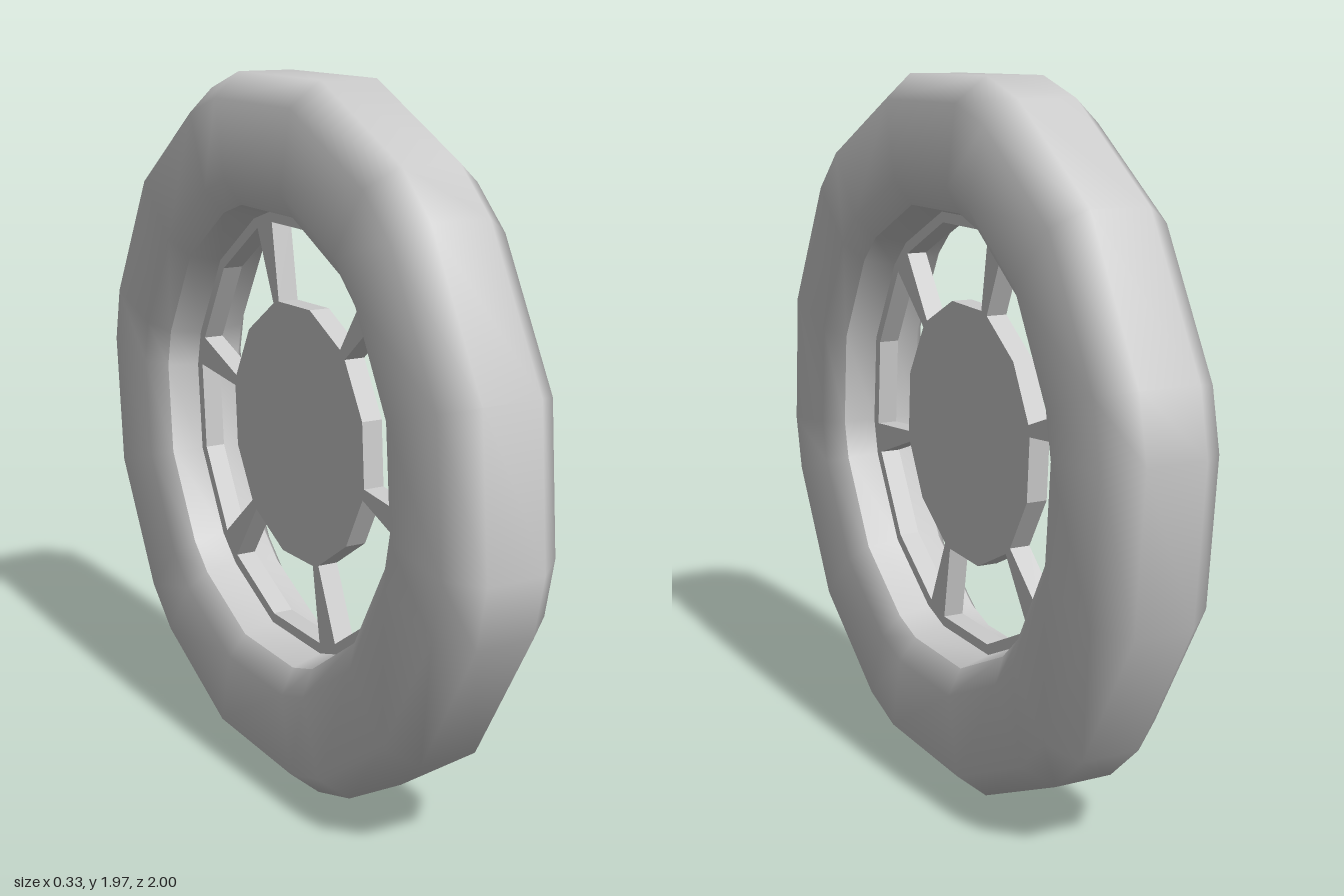
import * as THREE from 'three';

const CENTRE_Y = 0.985;
const rad = THREE.MathUtils.degToRad;

// Three uneven corners repeated six times round the wheel
const corners = [];
for (let k = 0; k < 6; k++) for (const a of [7.2, 17.2, 43]) corners.push(rad(a + 60 * k));

// Sweep an [x, radius] profile round the axle, smooth shaded
function sweep(profile) {
  const n = profile.length, m = corners.length, pos = [], idx = [];
  for (const a of corners)
    for (const [x, r] of profile) pos.push(x, r * Math.sin(a), -r * Math.cos(a));
  for (let j = 0; j < m; j++) {
    const p = j * n, q = ((j + 1) % m) * n;
    for (let i = 0; i < n - 1; i++)
      idx.push(p + i, p + i + 1, q + i, q + i, p + i + 1, q + i + 1);
  }
  const g = new THREE.BufferGeometry();
  g.setAttribute('position', new THREE.Float32BufferAttribute(pos, 3));
  g.setIndex(idx);
  g.computeVertexNormals();
  return g;
}

const polar = (r, a) => new THREE.Vector2(r * Math.cos(a), r * Math.sin(a));

export function createModel() {
  const group = new THREE.Group();
  const wheel = new THREE.Group();
  wheel.name = 'wheel';
  wheel.position.y = CENTRE_Y;
  group.add(wheel);

  const add = (name, geometry) => {
    const mesh = new THREE.Mesh(geometry, new THREE.MeshStandardMaterial({ color: 0xcccccc }));
    mesh.name = name;
    wheel.add(mesh);
  };

  // Tyre: flat sidewalls with chamfered shoulders and a flat tread
  add('tyre', sweep([
    [0.12, 0.645], [0.165, 0.715], [0.165, 0.938], [0.083, 1.008],
    [-0.083, 1.008], [-0.165, 0.938], [-0.165, 0.715], [-0.12, 0.645],
  ]));

  // Walls of the opening, narrowing towards the rim on each side
  add('innerWallRight', sweep([[0.03, 0.622], [0.12, 0.645]]));
  add('innerWallLeft', sweep([[-0.12, 0.645], [-0.03, 0.622]]));

  // Rim, six tapered spokes and hub cut from one plate
  const plate = new THREE.Shape(corners.map((a) => polar(0.635, a)));
  for (let k = 0; k < 6; k++) {
    const at = (r, deg) => polar(r, rad(deg + 60 * k));
    plate.holes.push(new THREE.Path([
      at(0.592, 16.8), at(0.592, 43), at(0.592, 68.2),
      at(0.372, 70), at(0.372, 42), at(0.372, 15),
    ]));
  }
  const spokes = new THREE.ExtrudeGeometry(plate, { depth: 0.06, bevelEnabled: false });
  spokes.translate(0, 0, -0.03);
  spokes.rotateY(Math.PI / 2);
  add('rimSpokesAndHub', spokes);

  return group;
}
